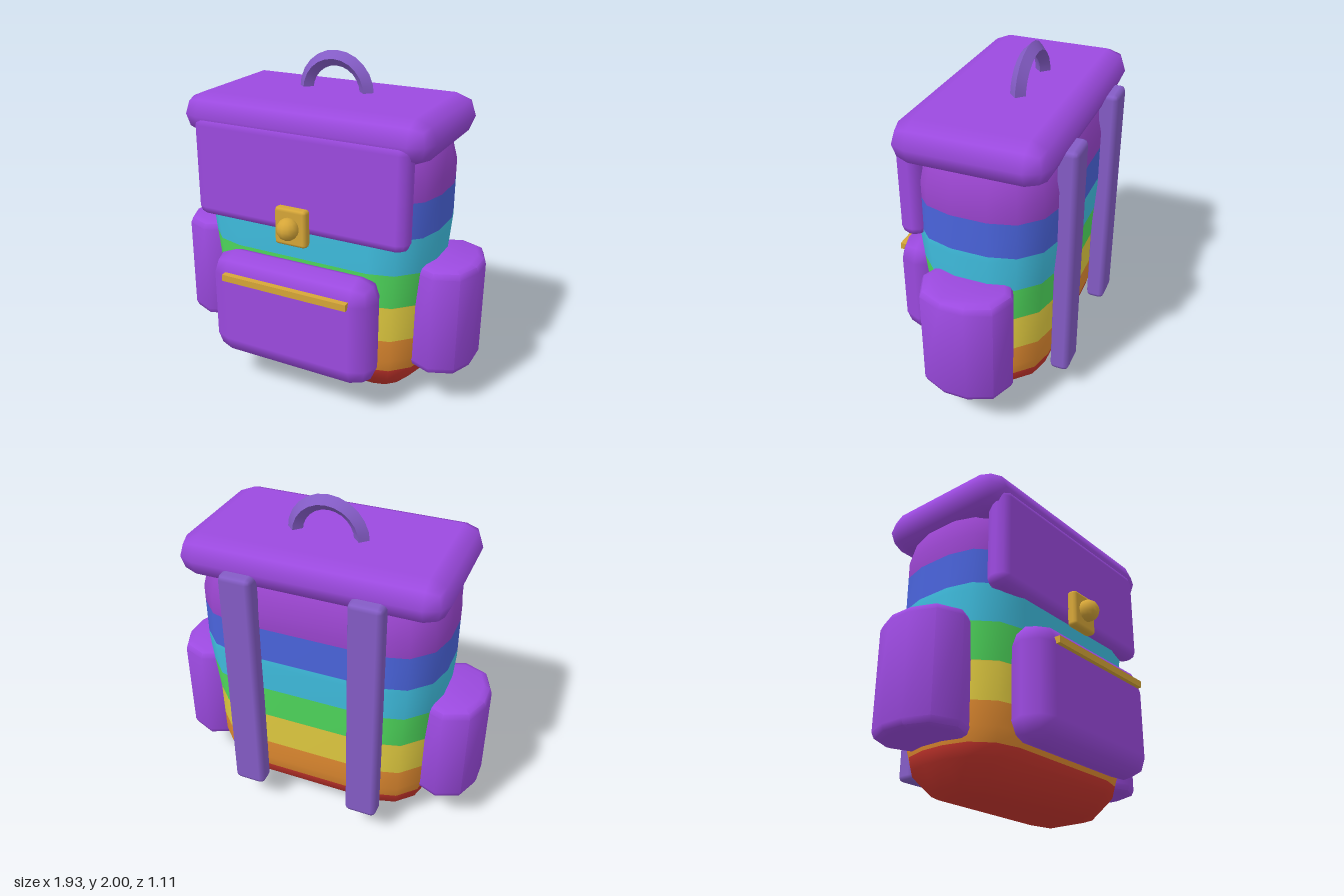
import * as THREE from 'three';
import { mergeVertices, toCreasedNormals } from 'three/addons/utils/BufferGeometryUtils.js';
import { RoundedBoxGeometry } from 'three/addons/geometries/RoundedBoxGeometry.js';

const paint = (name, color) => {
  const m = new THREE.MeshStandardMaterial({ color });
  m.name = name;
  return m;
};

// Loft of rounded rectangles; each ring is [y, core half x, core half z, corner radius].
// cuts gives the heights at which the material index goes up by one.
function loft(rings, seg, cuts = []) {
  const pos = [], index = [], n = 4 * (seg + 1);
  const signs = [[1, 1], [-1, 1], [-1, -1], [1, -1]];
  for (const [y, cx, cz, r] of rings) {
    signs.forEach(([sx, sz], q) => {
      for (let k = 0; k <= seg; k++) {
        const a = (q + k / seg) * Math.PI / 2;
        pos.push(sx * cx + r * Math.cos(a), y, sz * cz + r * Math.sin(a));
      }
    });
  }
  const geo = new THREE.BufferGeometry();
  let start = 0, band = 0;
  for (let j = 1; j < n - 1; j++) index.push(0, j, j + 1);
  for (let i = 0; i < rings.length - 1; i++) {
    if (band < cuts.length && rings[i][0] >= cuts[band] - 1e-6) {
      geo.addGroup(start, index.length - start, band++);
      start = index.length;
    }
    for (let j = 0; j < n; j++) {
      const a = i * n + j, b = i * n + (j + 1) % n;
      index.push(a, a + n, b, b, a + n, b + n);
    }
  }
  const top = (rings.length - 1) * n;
  for (let j = 1; j < n - 1; j++) index.push(top, top + j + 1, top + j);
  geo.addGroup(start, index.length - start, band);
  geo.setAttribute('position', new THREE.Float32BufferAttribute(pos, 3));
  geo.setIndex(index);
  const merged = mergeVertices(geo);
  merged.computeVertexNormals();
  return merged;
}

// Insert an interpolated ring at every cut height
function splitRings(rings, cuts) {
  const extra = cuts.map((y) => {
    const i = rings.findIndex((r) => r[0] > y);
    const a = rings[i - 1], b = rings[i], t = (y - a[0]) / (b[0] - a[0]);
    return a.map((v, k) => v + (b[k] - v) * t);
  });
  return [...rings, ...extra].sort((a, b) => a[0] - b[0]);
}

export function createModel() {
  const model = new THREE.Group();
  model.name = 'backpack';
  const purple = paint('purple', 0x9c4ae0);
  const lavender = paint('lavender', 0x845cc6);
  const gold = paint('gold', 0xd6a638);
  const stripes = [
    paint('red', 0xcc362e), paint('orange', 0xe08a30), paint('yellow', 0xe0ca40),
    paint('green', 0x50dc5e), paint('cyan', 0x40c0e2), paint('blue', 0x4a64dc),
    paint('violet', 0x9844cc),
  ];

  const add = (name, geo, mat, x = 0, y = 0, z = 0) => {
    const mesh = new THREE.Mesh(geo, mat);
    mesh.name = name;
    mesh.position.set(x, y, z);
    model.add(mesh);
    return mesh;
  };
  // Rounded box from its extents
  const padded = (name, mat, [x0, x1], [y0, y1], [z0, z1], r) =>
    add(name, new RoundedBoxGeometry(x1 - x0, y1 - y0, z1 - z0, 1, r), mat,
      (x0 + x1) / 2, (y0 + y1) / 2, (z0 + z1) / 2);

  // Striped body, rounded all over and a little wider at the top
  const cuts = [0.22, 0.435, 0.655, 0.87, 1.09, 1.3];
  const rings = [
    [0, 0.4, 0.07, 0], [0.04, 0.4, 0.07, 0.15], [0.15, 0.4, 0.07, 0.26],
    [0.3, 0.4, 0.07, 0.3], [0.65, 0.405, 0.075, 0.3], [1.05, 0.433, 0.105, 0.3],
    [1.4, 0.433, 0.105, 0.3], [1.55, 0.433, 0.105, 0.26],
    [1.66, 0.433, 0.105, 0.15], [1.7, 0.433, 0.105, 0],
  ];
  add('body', loft(splitRings(rings, cuts), 3, cuts), stripes, 0, 0, -0.06);

  // Lid, front flap and front pocket
  padded('lid', purple, [-0.77, 0.77], [1.525, 1.775], [-0.49, 0.39], 0.124);
  padded('flap', purple, [-0.67, 0.67], [1.045, 1.66], [0.25, 0.396], 0.06);
  padded('frontPocket', purple, [-0.53, 0.53], [0.205, 0.875], [0.27, 0.53], 0.129);

  // Zip and clasp
  add('zip', new THREE.BoxGeometry(0.8, 0.04, 0.04), gold, 0, 0.755, 0.535);
  padded('claspPlate', gold, [-0.1, 0.1], [0.995, 1.22], [0.387, 0.45], 0.02);
  add('claspKnob', new THREE.SphereGeometry(0.065, 12, 8), gold, 0, 1.11, 0.47);

  // Side pockets and shoulder straps
  const pocketRings = [
    [0.24, 0.001, 0.07, 0.15], [0.253, 0.001, 0.07, 0.186], [0.285, 0.001, 0.07, 0.2],
    [0.86, 0.001, 0.07, 0.2], [0.892, 0.001, 0.07, 0.186], [0.905, 0.001, 0.07, 0.15],
  ];
  const pocket = toCreasedNormals(loft(pocketRings, 2), 0.85);
  for (const [side, s] of [['left', 1], ['right', -1]]) {
    add(side + 'Pocket', pocket, purple, s * 0.765, 0, -0.055);
    const strap = padded(side + 'Strap', lavender, [0.27, 0.465], [0.17, 1.64], [-0.55, -0.435], 0.03);
    strap.position.x *= s;
  }

  // Carrying handle with a diamond section
  const handle = toCreasedNormals(new THREE.TorusGeometry(0.195, 0.045, 4, 12, Math.PI), 0.7);
  add('handle', handle, lavender, 0, 1.76, -0.12);

  return model;
}
